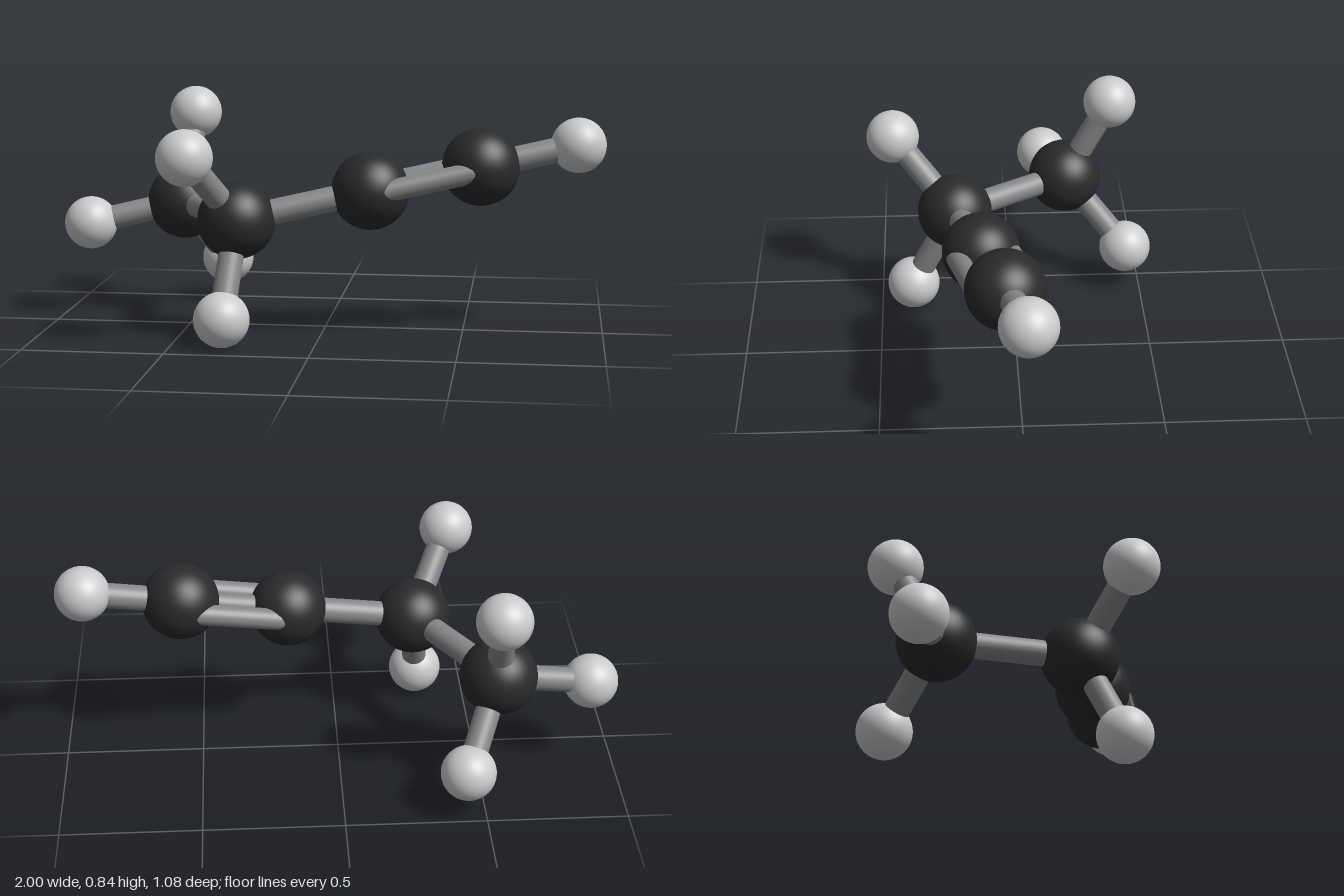
import * as THREE from 'three';

const CARBON_R = 0.138, HYDROGEN_R = 0.098, BOND_R = 0.045;
const TRIPLE_R = 0.038, TRIPLE_OFFSET = 0.094;

const darkMat = new THREE.MeshStandardMaterial({ color: 0x2a2a2a });
const lightMat = new THREE.MeshStandardMaterial({ color: 0xcccccc });
const bondMat = new THREE.MeshStandardMaterial({ color: 0x888888 });

const v = (x, y, z) => new THREE.Vector3(x, y, z);

export function createModel() {
  const model = new THREE.Group();
  model.name = 'molecule';

  const carbons = [
    v(0.56, 0.606, 0.06),
    v(0.175, 0.524, 0.13),
    v(-0.29, 0.425, 0.216),
    v(-0.557, 0.422, -0.213),
  ];
  // Each hydrogen: position and index of the carbon it hangs on
  const hydrogens = [
    [v(0.902, 0.68, 0), 0],
    [v(-0.43, 0.671, 0.442), 2],
    [v(-0.318, 0.1, 0.378), 2],
    [v(-0.902, 0.345, -0.143), 3],
    [v(-0.543, 0.742, -0.378), 3],
    [v(-0.434, 0.17, -0.442), 3],
  ];

  const carbonGeo = new THREE.SphereGeometry(CARBON_R, 48, 32);
  const hydrogenGeo = new THREE.SphereGeometry(HYDROGEN_R, 48, 32);

  function addAtom(name, geo, mat, pos) {
    const atom = new THREE.Mesh(geo, mat);
    atom.name = name;
    atom.position.copy(pos);
    model.add(atom);
  }

  // Cylinder running from centre a to centre b
  function addBond(name, a, b, radius = BOND_R) {
    const dir = b.clone().sub(a);
    const bond = new THREE.Mesh(new THREE.CylinderGeometry(radius, radius, dir.length(), 32), bondMat);
    bond.name = name;
    bond.position.copy(a).add(b).multiplyScalar(0.5);
    bond.quaternion.setFromUnitVectors(v(0, 1, 0), dir.normalize());
    model.add(bond);
  }

  carbons.forEach((p, i) => addAtom(`carbonAtom${i + 1}`, carbonGeo, darkMat, p));
  hydrogens.forEach(([p, c], i) => {
    addAtom(`hydrogenAtom${i + 1}`, hydrogenGeo, lightMat, p);
    addBond(`hydrogenBond${i + 1}`, carbons[c], p);
  });

  // Single bonds along the carbon chain
  addBond('chainBond1', carbons[1], carbons[2]);
  addBond('chainBond2', carbons[2], carbons[3]);

  // Triple bond: three parallel rods side by side in a level plane
  const side = carbons[0].clone().sub(carbons[1]).cross(v(0, 1, 0)).normalize();
  [-1, 0, 1].forEach((k) => {
    const shift = side.clone().multiplyScalar(k * TRIPLE_OFFSET);
    addBond(`tripleBondRod${k + 2}`, carbons[1].clone().add(shift), carbons[0].clone().add(shift), TRIPLE_R);
  });

  return model;
}
